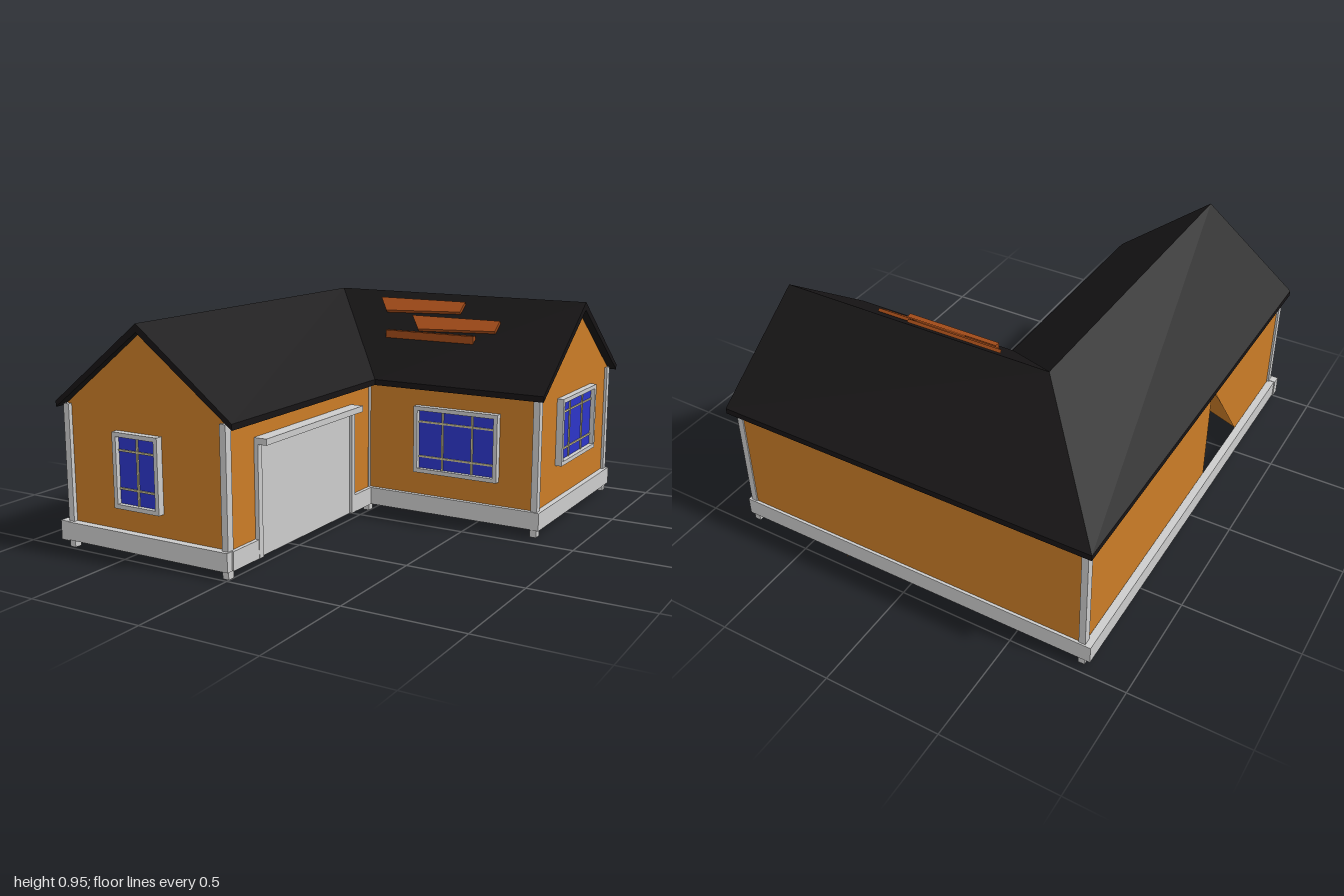
import * as THREE from 'three';

const mat = (color) => new THREE.MeshStandardMaterial({ color, side: THREE.DoubleSide, flatShading: true });
const GREY = mat(0xcccccc), WALL = mat(0xca7c27), ROOF = mat(0x161415);
const GLASS = mat(0x2c35c8), BAR = mat(0xc9c096), PLANK = mat(0xa04a18);

function add(parent, name, geometry, material) {
  const mesh = new THREE.Mesh(geometry, material);
  mesh.name = name;
  parent.add(mesh);
  return mesh;
}

// Box given by its minimum and maximum corners
function box(parent, name, material, x0, x1, y0, y1, z0, z1) {
  const g = new THREE.BoxGeometry(x1 - x0, y1 - y0, z1 - z0);
  g.translate((x0 + x1) / 2, (y0 + y1) / 2, (z0 + z1) / 2);
  return add(parent, name, g, material);
}

// Thin flat panel from a 2D outline
function panel(parent, name, points, hole) {
  const shape = new THREE.Shape(points.map(([x, y]) => new THREE.Vector2(x, y)));
  if (hole) shape.holes.push(new THREE.Path(hole.map(([x, y]) => new THREE.Vector2(x, y))));
  return add(parent, name, new THREE.ShapeGeometry(shape), WALL);
}

// Loose triangles from corner triples
function triangles(parent, name, material, tris) {
  const g = new THREE.BufferGeometry();
  g.setAttribute('position', new THREE.Float32BufferAttribute(tris.flat(2), 3));
  g.computeVertexNormals();
  return add(parent, name, g, material);
}

// Framed window facing local +z, centred on its own origin
function makeWindow(name, w, h, verticals, horizontals) {
  const win = new THREE.Group();
  win.name = name;
  const t = 0.018, a = w / 2, b = h / 2;
  for (const s of [-1, 1]) {
    const x = s * (a - t / 2), y = s * (b - t / 2);
    box(win, 'windowFrameSide', GREY, x - t / 2, x + t / 2, -b, b, 0, 0.03);
    box(win, 'windowFrameRail', GREY, -a + t, a - t, y - t / 2, y + t / 2, 0, 0.03);
  }
  box(win, 'windowGlass', GLASS, -a + t, a - t, -b + t, b - t, 0, 0.01);
  for (const x of verticals) box(win, 'windowBar', BAR, x - 0.004, x + 0.004, -b + t, b - t, 0.01, 0.016);
  for (const y of horizontals) box(win, 'windowBar', BAR, -a + t, a - t, y - 0.004, y + 0.004, 0.01, 0.015);
  return win;
}

// L-shaped gable roof: one six-point section carried through three stations
function makeRoof(parent) {
  const heights = [0.61, 0.95, 0.61, 0.585, 0.915, 0.585];
  const order = [0, 1, 2, 2, 1, 0];
  const xs = [-0.83, -0.4, 0.04], zs = [-0.99, -0.53, -0.06];
  const stations = [
    order.map((k, i) => [xs[k], heights[i], 1]),
    order.map((k, i) => [xs[k], heights[i], zs[k]]),
    order.map((k, i) => [0.83, heights[i], zs[k]]),
  ];
  const tris = [];
  const quad = (a, b, c, d) => tris.push([a, b, c], [a, c, d]);
  for (let s = 0; s < 2; s++) {
    const p = stations[s], q = stations[s + 1];
    for (let i = 0; i < 6; i++) {
      const j = (i + 1) % 6;
      quad(p[j], p[i], q[i], q[j]);
    }
  }
  const [f, , e] = stations;
  quad(f[0], f[5], f[4], f[1]);
  quad(f[1], f[4], f[3], f[2]);
  quad(e[0], e[1], e[4], e[5]);
  quad(e[1], e[2], e[3], e[4]);
  triangles(parent, 'roof', ROOF, tris);
}

export function createModel() {
  const house = new THREE.Group();
  house.name = 'house';
  const EAVE = 0.605, LOW = 0.03;

  // Walls
  panel(house, 'frontGableWall', [[-0.795, LOW], [-0.005, LOW], [-0.005, EAVE], [-0.4, 0.915], [-0.795, EAVE]])
    .position.z = 0.967;
  panel(house, 'wingFrontWall', [[-0.005, LOW], [0.795, LOW], [0.795, EAVE], [-0.005, EAVE]]).position.z = -0.095;
  panel(house, 'backWall', [[-0.795, LOW], [0.795, LOW], [0.795, EAVE], [-0.795, EAVE]]).position.z = -0.955;
  const side = (name, x, pts, hole) => {
    const m = panel(house, name, pts.map(([z, y]) => [-z, y]), hole && hole.map(([z, y]) => [-z, y]));
    m.rotation.y = Math.PI / 2;
    m.position.x = x;
  };
  side('wingGableWall', 0.795, [[-0.095, LOW], [-0.955, LOW], [-0.955, EAVE], [-0.53, 0.915], [-0.095, EAVE]]);
  side('garageWall', -0.005, [[-0.095, LOW], [0.967, LOW], [0.967, EAVE], [-0.095, EAVE]]);
  side('outerSideWall', -0.795, [[-0.955, LOW], [0.967, LOW], [0.967, EAVE], [-0.955, EAVE]],
    [[0.17, 0.57], [0.17, 0.05], [0.58, 0.05]]);

  // Floor in two pieces, open between them
  const floors = [
    [[-0.795, -0.955], [0.795, -0.955], [0.795, -0.095], [0, -0.095], [0, 0.4], [-0.795, 0.22]],
    [[-0.795, 0.7], [0, 0.72], [0, 0.967], [-0.795, 0.967]],
  ];
  for (const pts of floors) {
    const m = panel(house, 'floor', pts);
    m.rotation.x = Math.PI / 2;
    m.position.y = 0.033;
  }

  // Bent-in wall sheet and sagging floor folds
  triangles(house, 'bentWallSheet', WALL, [
    [[-0.79, 0.05, 0.6], [-0.79, 0.57, 0.17], [-0.55, 0.25, 0.48]],
    [[-0.79, 0.05, 0.69], [-0.55, 0.25, 0.48], [-0.3, 0.05, 0.7]],
  ]);
  const tip = [0.41, 0.006, -0.71];
  const rim = [[0.52, 0.032, -0.25], [0.24, 0.032, -0.11], [0.3, 0.03, -0.975]];
  triangles(house, 'floorFold', WALL, rim.map((p, i) => [p, rim[(i + 1) % 3], tip]));
  triangles(house, 'smallFloorFold', WALL, [[[-0.72, 0.03, -0.95], [-0.6, 0.022, -0.9], [-0.58, 0.03, -0.5]]]);

  makeRoof(house);

  // Corner posts, standing on the ground
  const corners = [[-0.79, 0.968], [-0.015, 0.968], [-0.015, -0.097], [0.793, -0.097], [0.793, -0.943], [-0.79, -0.943]];
  for (const [x, z] of corners) box(house, 'cornerPost', GREY, x - 0.014, x + 0.014, 0, 0.6, z - 0.017, z + 0.017);

  // Base trim
  const trims = [
    [-0.83, 0.005, 0.96, 1], [-0.83, -0.797, -0.965, 1], [-0.83, 0.82, -0.967, -0.955],
    [0.795, 0.82, -0.965, -0.07], [0, 0.82, -0.097, -0.075],
    [-0.006, 0.012, -0.09, 0.07], [-0.006, 0.012, 0.8, 0.97],
  ];
  for (const [x0, x1, z0, z1] of trims) box(house, 'baseTrim', GREY, x0, x1, 0.033, 0.11, z0, z1);
  box(house, 'trimCornerBlock', GREY, -0.835, -0.795, 0.03, 0.112, 0.958, 1);

  // Garage door with jambs and a projecting hood
  box(house, 'garageDoor', GREY, -0.004, 0.004, 0.033, 0.49, 0.1, 0.775);
  for (const z of [0.07, 0.775]) box(house, 'garageJamb', GREY, -0.004, 0.014, 0.033, 0.492, z, z + 0.027);
  box(house, 'garageHood', GREY, -0.004, 0.054, 0.49, 0.516, 0.07, 0.802);

  // Windows
  const front = makeWindow('frontWindow', 0.225, 0.31, [0], [0.08, -0.075]);
  front.position.set(-0.432, 0.36, 0.967);
  const wing = makeWindow('wingFrontWindow', 0.395, 0.295, [-0.065, 0.075], [0.078, -0.077]);
  wing.position.set(0.428, 0.362, -0.095);
  const gable = makeWindow('wingGableWindow', 0.42, 0.295, [-0.085, 0.07], [0.082, -0.082]);
  gable.position.set(0.795, 0.408, -0.52);
  gable.rotation.y = Math.PI / 2;
  house.add(front, wing, gable);

  // Planks lying on the wing roof: local x across, local y up the slope
  const slope = Math.atan2(0.34, 0.47);
  const plank = (pts, y, z) => {
    const shape = new THREE.Shape(pts.map(([px, py]) => new THREE.Vector2(px, py)));
    const g = new THREE.ExtrudeGeometry(shape, { depth: 0.014, bevelEnabled: false });
    const m = add(house, 'roofPlank', g, PLANK);
    m.rotation.x = -Math.PI / 2 + slope;
    m.position.set(0, y, z);
  };
  const slanted = (x) => [[x, 0], [x + 0.065, -0.087], [x + 0.435, -0.068], [x + 0.435, 0]];
  plank(slanted(-0.155), 0.914, -0.475);
  plank(slanted(0.055), 0.85, -0.39);
  box(house, 'roofPlank', PLANK, -0.025, 0.41, 0.765, 0.8, -0.3, -0.275);

  return house;
}
